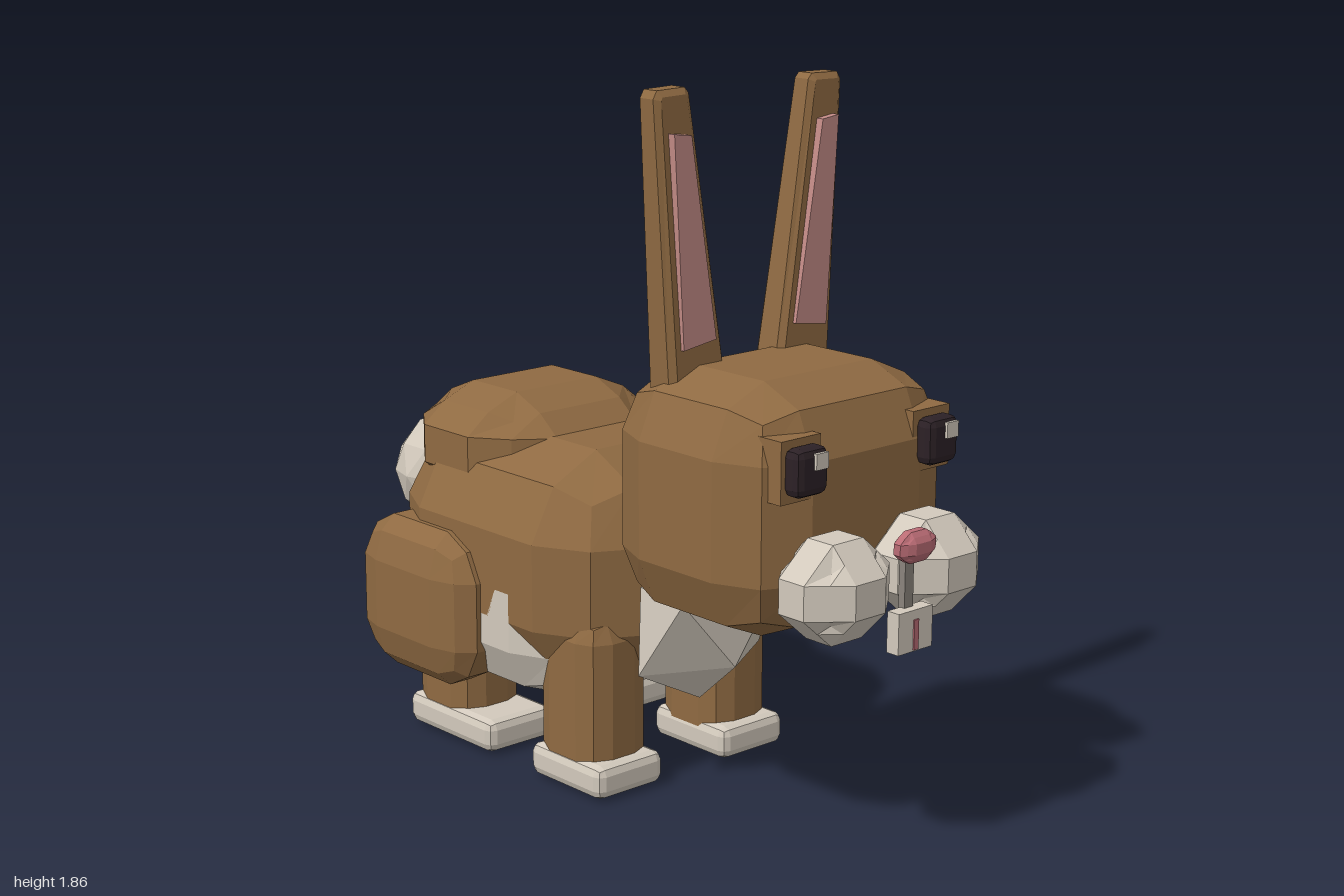
import * as THREE from 'three';
import { ConvexGeometry } from 'three/addons/geometries/ConvexGeometry.js';

const mat = (name, color) => {
  const m = new THREE.MeshStandardMaterial({ color });
  m.name = name;
  return m;
};

// Give every face its own normal
function faceted(geo) {
  const g = geo.index ? geo.toNonIndexed() : geo;
  g.computeVertexNormals();
  return g;
}

// Box with a 3x3x3 grid whose edges and corners are pulled in;
// r is the size of the bevel, pull is how round it gets
function softBox(hx, hy, hz, r, pull = 0.3) {
  const g = new THREE.BoxGeometry(2, 2, 2, 3, 3, 3);
  const p = g.attributes.position;
  const half = [hx, hy, hz];
  for (let i = 0; i < p.count; i++) {
    const v = [p.getX(i), p.getY(i), p.getZ(i)];
    const outer = v.filter(c => Math.abs(c) > 0.9).length;
    const inset = [0, 0, pull, pull * 1.5][outer];
    const q = v.map((c, k) => {
      const b = Math.min(r, half[k] * 0.65);
      return Math.sign(c) * (half[k] - b * (Math.abs(c) > 0.9 ? inset : 1));
    });
    p.setXYZ(i, q[0], q[1], q[2]);
  }
  return faceted(g);
}

// Plate from a front outline, between two depths, with a small bevel
function plate(points, z0, z1, bevel) {
  const g = new THREE.ExtrudeGeometry(new THREE.Shape(points.map(p => new THREE.Vector2(...p))), {
    depth: z1 - z0 - 2 * bevel, bevelEnabled: bevel > 0, bevelSize: bevel,
    bevelThickness: bevel, bevelOffset: -bevel, bevelSegments: 1,
  });
  return faceted(g.translate(0, 0, z0 + bevel));
}

// Ear that gets thinner towards its tip
function earGeometry(points) {
  const g = plate(points, 0.312, 0.412, 0.016);
  const p = g.attributes.position;
  for (let i = 0; i < p.count; i++) {
    const t = (p.getY(i) - 1.12) / 0.74;
    p.setZ(i, 0.364 + (p.getZ(i) - 0.362) * (1 - 0.32 * t));
  }
  return faceted(g);
}

export function createModel() {
  const root = new THREE.Group();
  root.name = 'rabbit';
  const fur = mat('brown fur', 0x8f6a42);
  const pale = mat('pale fur', 0xd2c9bc);
  const pink = mat('inner ear pink', 0xc38b86);
  const rose = mat('nose rose', 0xb96b74);
  const dark = mat('eye dark', 0x2c2126);
  const grey = mat('muzzle groove grey', 0x8a847c);

  const add = (name, geo, material, x = 0, y = 0, z = 0) => {
    const m = new THREE.Mesh(geo, material);
    m.name = name;
    m.position.set(x, y, z);
    root.add(m);
    return m;
  };

  // Trunk
  add('body', softBox(0.37, 0.335, 0.46, 0.22, 0.34), fur, 0, 0.54, -0.26);
  add('rump', softBox(0.31, 0.15, 0.265, 0.17, 0.42), fur, 0, 0.817, -0.455);
  add('belly', softBox(0.37, 0.23, 0.3, 0.17), pale, 0, 0.421, -0.25);
  add('tail', faceted(new THREE.IcosahedronGeometry(0.165, 1)), pale, 0, 0.638, -0.835);

  // Faceted chest tuft
  const tuft = [[0, 0.34, 0.355], [0, 0.58, 0.29], [0, 0.22, 0.22], [0, 0.4, 0.1]];
  for (const s of [-1, 1]) {
    tuft.push([0.17 * s, 0.54, 0.34], [0.215 * s, 0.33, 0.22], [0.19 * s, 0.56, 0.2]);
  }
  add('chestTuft', faceted(new ConvexGeometry(tuft.map(p => new THREE.Vector3(...p)))), pale);

  // Head and middle of the face
  add('head', softBox(0.355, 0.32, 0.3, 0.17), fur, 0, 0.86, 0.51);
  add('nose', softBox(0.062, 0.039, 0.03, 0.036, 0.45), rose, 0, 0.808, 0.97);
  add('muzzleGroove', new THREE.BoxGeometry(0.03, 0.13, 0.02), grey, 0, 0.71, 0.945);
  add('teeth', new THREE.BoxGeometry(0.118, 0.104, 0.038), pale, 0, 0.598, 0.96);
  add('toothGap', new THREE.BoxGeometry(0.016, 0.076, 0.006), rose, 0, 0.588, 0.98);

  // Paired parts
  for (const s of [-1, 1]) {
    const side = s > 0 ? 'left' : 'right';
    const mirror = pts => pts.map(([x, y]) => [x * s, y]);

    add(side + 'Ear', earGeometry(mirror([[0.085, 1.12], [0.272, 1.12], [0.316, 1.84],
      [0.304, 1.86], [0.215, 1.862], [0.202, 1.848]])), fur);
    add(side + 'InnerEar', plate(mirror([[0.137, 1.24], [0.245, 1.225], [0.278, 1.757], [0.222, 1.75]]),
      0.398, 0.422, 0), pink);

    add(side + 'Cheek', softBox(0.145, 0.125, 0.12, 0.12, 0.5), pale, 0.16 * s, 0.71, 0.862);
    add(side + 'EyeSocket', new THREE.BoxGeometry(0.13, 0.155, 0.08), fur, 0.225 * s, 1.002, 0.768);
    add(side + 'Eye', softBox(0.054, 0.06, 0.028, 0.022), dark, 0.226 * s, 1.003, 0.826);
    add(side + 'EyeGlint', new THREE.BoxGeometry(0.04, 0.04, 0.009), pale,
      0.226 * s + 0.02, 1.03, 0.857);

    add(side + 'Haunch', softBox(0.102, 0.215, 0.24, 0.12, 0.34), fur, 0.348 * s, 0.408, -0.477);

    // Legs run down through the feet and just show underneath
    for (const [end, legZ, footZ, footHalf] of [['Front', 0.042, 0.058, 0.143], ['Back', -0.49, -0.435, 0.183]]) {
      add(side + end + 'Leg', softBox(0.107, 0.24, 0.123, 0.07), fur, 0.217 * s, 0.24, legZ);
      add(side + end + 'Foot', softBox(0.113, 0.045, footHalf, 0.025), pale, 0.22 * s, 0.05, footZ);
    }
  }
  return root;
}
